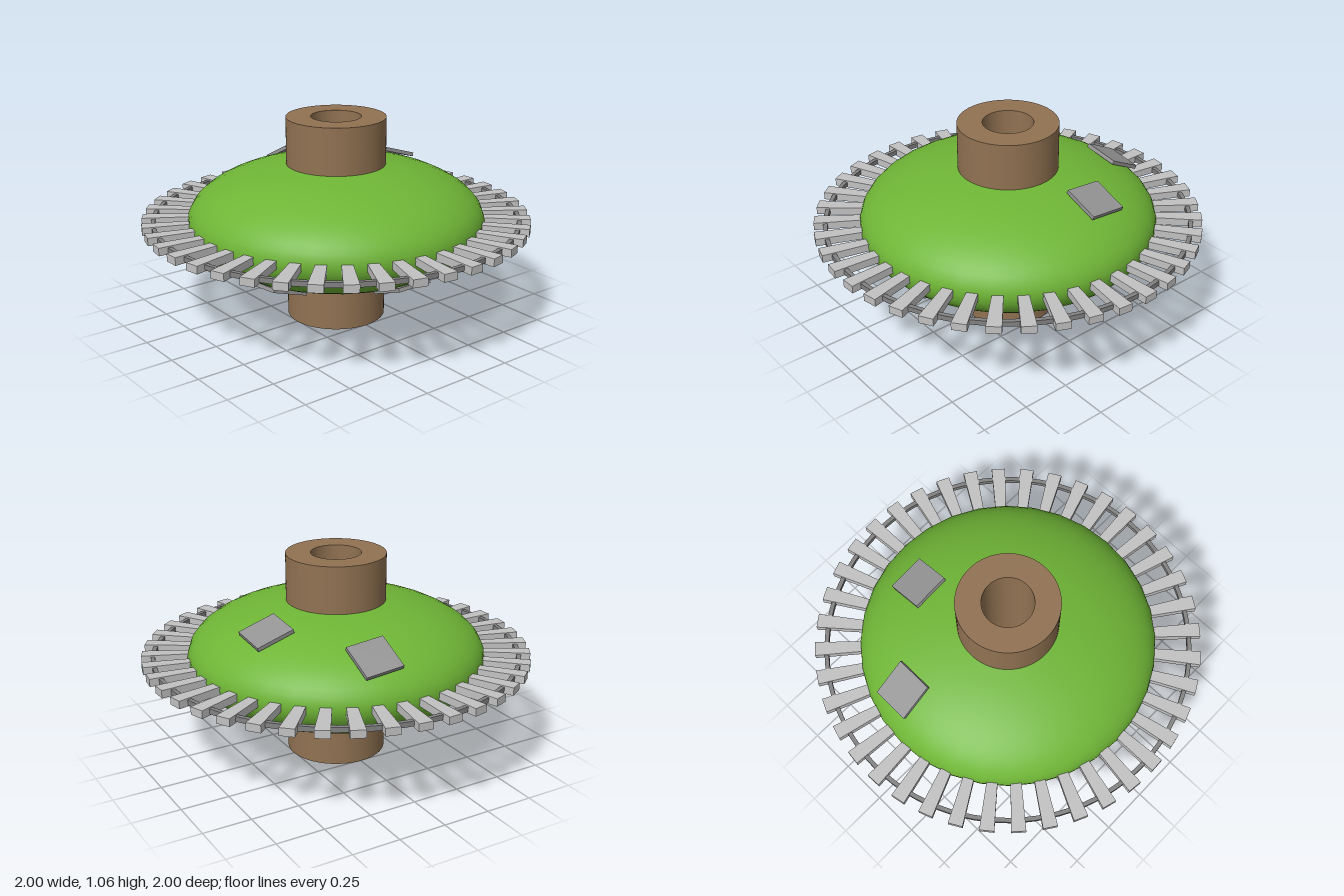
import * as THREE from 'three';

const paint = (name, color) => {
  const m = new THREE.MeshStandardMaterial({ color });
  m.name = name;
  return m;
};

export function createModel() {
  const model = new THREE.Group();
  model.name = 'toothedDisc';
  const green = paint('hull green', 0x6fb536);
  const brown = paint('hub brown', 0x917252);
  const light = paint('tooth light grey', 0xc2c2c2);
  const mid = paint('panel grey', 0x949494);
  const dark = paint('rail dark grey', 0x828282);

  const MID = 0.53, A = 0.765, B = 0.305, HUB = 0.255;

  const add = (name, geometry, material, parent = model) => {
    const mesh = new THREE.Mesh(geometry, material);
    mesh.name = name;
    parent.add(mesh);
    return mesh;
  };

  // flat ring or tube standing on y = 0, sharp at its rims
  const ringGeometry = (outer, inner, height, sides) => {
    const shape = new THREE.Shape().absarc(0, 0, outer, 0, Math.PI * 2);
    shape.holes.push(new THREE.Path().absarc(0, 0, inner, 0, Math.PI * 2, true));
    const g = new THREE.ExtrudeGeometry(shape, { depth: height, bevelEnabled: false, curveSegments: sides });
    return g.rotateX(-Math.PI / 2);
  };

  // flattened hull, open where the hub passes through
  const start = Math.acos(0.24 / A);
  const profile = [];
  for (let i = 0; i <= 24; i++) {
    const t = -start + (2 * start * i) / 24;
    profile.push(new THREE.Vector2(A * Math.cos(t), B * Math.sin(t)));
  }
  add('hull', new THREE.LatheGeometry(profile, 32), green).position.y = MID;

  // hollow hub
  add('hub', ringGeometry(HUB, 0.128, 1.06, 48), brown);

  // thin rail joining the teeth
  add('rail', ringGeometry(0.95, 0.928, 0.026, 48), dark).position.y = MID - 0.013;

  // tapered teeth around the rim
  const teeth = new THREE.Group();
  teeth.name = 'teeth';
  teeth.position.y = MID;
  model.add(teeth);
  const inner = 0.72, outer = 0.997;
  const tooth = new THREE.BoxGeometry(outer - inner, 0.04, 0.074);
  tooth.translate((outer + inner) / 2, 0, 0);
  const p = tooth.attributes.position;
  for (let i = 0; i < p.count; i++) {
    if (p.getX(i) < 0.85) p.setZ(i, p.getZ(i) * 0.7);
  }
  tooth.computeVertexNormals();
  const COUNT = 40;
  for (let i = 0; i < COUNT; i++) {
    add('tooth', tooth, light, teeth).rotation.y = ((i + 0.25) / COUNT) * Math.PI * 2;
  }

  // square panels lying on the hull: x, z, side (1 above, -1 below), lift
  const panel = new THREE.BoxGeometry(0.2, 0.02, 0.2);
  const up = new THREE.Vector3(0, 1, 0);
  for (const [x, z, side, lift] of [
    [-0.155, -0.475, 1, 0.011],
    [-0.592, -0.14, 1, 0.011],
    [0.15, 0.47, -1, 0.005],
    [0.52, -0.005, -1, 0.005],
  ]) {
    const y = side * B * Math.sqrt(1 - (x * x + z * z) / (A * A));
    const normal = new THREE.Vector3(x / (A * A), y / (B * B), z / (A * A)).normalize();
    const mesh = add(side > 0 ? 'upperPanel' : 'lowerPanel', panel, mid);
    mesh.position.set(x, y + MID, z).addScaledVector(normal, lift);
    mesh.quaternion.setFromUnitVectors(up, normal.clone().multiplyScalar(side));
  }

  return model;
}
